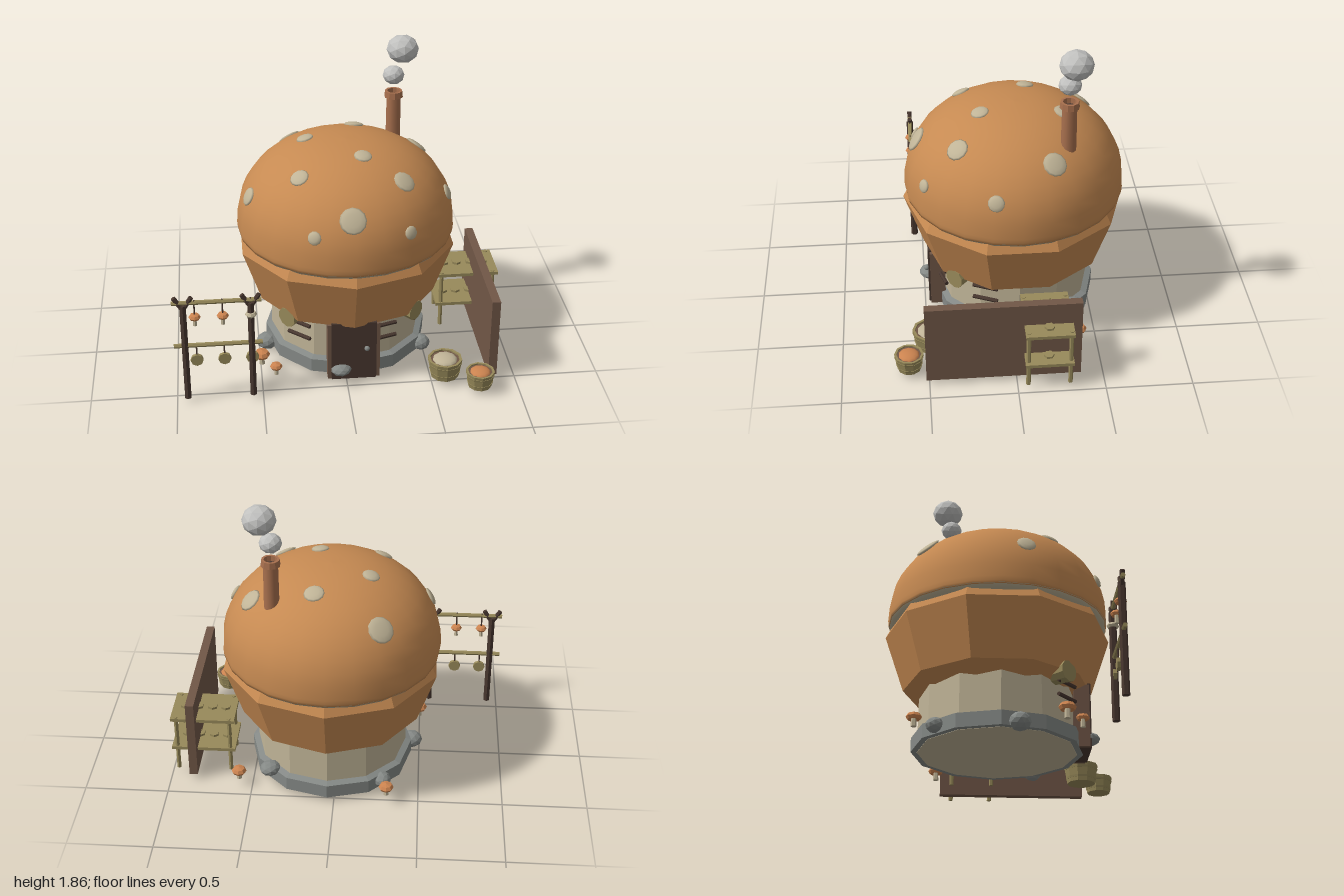
import * as THREE from 'three';

const mat = (name, color) => {
  const m = new THREE.MeshStandardMaterial({ color });
  m.name = name;
  return m;
};

export function createModel() {
  const M = {
    cap: mat('cap tan', 0xc68a52),
    sprout: mat('sprout orange', 0xcc8450),
    brick: mat('chimney clay', 0xa8704e),
    cream: mat('cream', 0xc0b497),
    stone: mat('stone grey', 0x858986),
    smoke: mat('smoke', 0xc0c0be),
    dark: mat('dark wood', 0x493830),
    board: mat('board brown', 0x715747),
    olive: mat('olive wood', 0x988a5a),
  };
  const root = new THREE.Group();
  const CX = 0.04, CZ = -0.05;

  const flat = (g) => {
    const f = g.index ? g.toNonIndexed() : g;
    f.computeVertexNormals();
    return f;
  };
  const add = (name, geo, m, x = 0, y = 0, z = 0, parent = root) => {
    const mesh = new THREE.Mesh(geo, m);
    mesh.name = name;
    mesh.position.set(x, y, z);
    parent.add(mesh);
    return mesh;
  };
  const group = (name, x = 0, y = 0, z = 0) => {
    const g = new THREE.Group();
    g.name = name;
    g.position.set(x, y, z);
    root.add(g);
    return g;
  };
  const lathe = (pts, n) => new THREE.LatheGeometry(pts.map(([r, y]) => new THREE.Vector2(r, y)), n);
  const cyl = (rt, rb, h, n) => flat(new THREE.CylinderGeometry(rt, rb, h, n));
  const box = (w, h, d) => new THREE.BoxGeometry(w, h, d);
  // round stick between two points
  const stick = (name, a, b, r, m, parent = root) => {
    const p = new THREE.Vector3(...a), q = new THREE.Vector3(...b);
    const s = add(name, cyl(r, r, p.distanceTo(q), 6), m, 0, 0, 0, parent);
    s.position.copy(p).add(q).multiplyScalar(0.5);
    s.quaternion.setFromUnitVectors(new THREE.Vector3(0, 1, 0), q.clone().sub(p).normalize());
    return s;
  };

  // house body: stem wall, stone footing, flared skirt
  add('wall', cyl(0.45, 0.455, 0.36, 12), M.cream, CX, 0.22, CZ);
  add('stoneFooting', flat(lathe([[0.44, 0.042], [0.49, 0.042], [0.49, 0.125], [0.45, 0.14]], 12)), M.stone, CX, 0, CZ);
  add('skirt', flat(lathe([[0.4, 0.37], [0.43, 0.35], [0.545, 0.41], [0.656, 0.74], [0.615, 0.82]], 10)), M.cap, CX, 0, CZ);
  add('gillRim', lathe([[0.56, 0.775], [0.625, 0.79], [0.642, 0.812]], 24), M.cream, CX, 0, CZ);

  // domed cap following a rounded curve
  const R = 0.645, H = 0.515, Y0 = 0.85, E = 2.2;
  const domeY = (r) => Y0 + H * Math.pow(Math.max(0, 1 - Math.pow(r / R, E)), 1 / E);
  const profile = [[0.6, 0.808], [0.64, 0.806], [0.643, 0.825]];
  for (let i = 0; i <= 12; i++) {
    const r = R * Math.cos((i / 12) * Math.PI / 2);
    profile.push([Math.max(r, 0.0001), domeY(r)]);
  }
  add('cap', lathe(profile, 24), M.cap, CX, 0, CZ);

  // pale spots lying on the dome: x, z, radius
  const spots = [
    [-0.26, -0.47, 0.078], [0.12, -0.33, 0.06], [-0.19, -0.135, 0.052], [0.12, 0.15, 0.053],
    [-0.25, 0.24, 0.056], [0.34, 0.29, 0.066], [0.49, -0.24, 0.07], [-0.535, 0.085, 0.056],
    [0.625, 0.095, 0.048], [0.025, 0.515, 0.077], [-0.19, 0.52, 0.04], [0.355, 0.484, 0.04],
  ];
  const spotGeo = new THREE.SphereGeometry(1, 12, 6);
  for (const [x, z, s] of spots) {
    const dx = x - CX, dz = z - CZ, r = Math.min(Math.hypot(dx, dz), 0.625);
    const y = domeY(r), e = 0.002;
    const slope = (domeY(r - e) - domeY(r + e)) / (2 * e);
    const n = new THREE.Vector3(dx / r * slope, 1, dz / r * slope).normalize();
    const spot = add('capSpot', spotGeo, M.cream, x, y, z);
    spot.scale.set(s, 0.016, s);
    spot.quaternion.setFromUnitVectors(new THREE.Vector3(0, 1, 0), n);
  }

  // chimney and smoke
  const chimney = group('chimney', 0.358, 0, -0.33);
  add('flue', new THREE.CylinderGeometry(0.042, 0.045, 0.34, 12, 1, true), M.brick, 0, 1.34, 0, chimney);
  add('chimneyCollar', flat(lathe([[0.042, 1.49], [0.056, 1.495], [0.052, 1.533], [0.038, 1.533], [0.036, 1.49]], 10)), M.brick, 0, 0, 0, chimney);
  add('sootHole', cyl(0.038, 0.038, 0.01, 10), M.dark, 0, 1.495, 0, chimney);
  const puff = flat(new THREE.IcosahedronGeometry(1, 1));
  add('smallPuff', puff, M.smoke, 0.355, 1.633, -0.33).scale.set(0.065, 0.056, 0.065);
  add('largePuff', puff, M.smoke, 0.41, 1.785, -0.355).scale.set(0.096, 0.084, 0.096);

  // door with jambs and knob
  const door = group('door', CX, 0, 0);
  add('doorPanel', box(0.265, 0.385, 0.1), M.dark, 0, 0.235, 0.425, door);
  for (const s of [-1, 1]) add('doorJamb', box(0.022, 0.37, 0.09), M.board, s * 0.143, 0.228, 0.42, door);
  add('doorKnob', new THREE.SphereGeometry(0.016, 10, 8), M.stone, 0.075, 0.255, 0.485, door);

  // wall pegs and round vents under the skirt
  for (const y of [0.27, 0.355]) {
    stick('wallPeg', [-0.33, y, 0.27], [-0.21, y, 0.375], 0.012, M.dark);
    stick('wallPeg', [0.19, y, 0.405], [0.3, y, 0.37], 0.012, M.dark);
    stick('wallPeg', [0.43, y, 0.22], [0.49, y, 0.08], 0.012, M.dark);
  }
  for (const s of [-1, 1]) {
    const a = s * 0.79;
    const vent = group('roundVent', CX + Math.sin(a) * 0.48, 0.4, CZ + Math.cos(a) * 0.48);
    vent.rotation.y = a;
    add('ventPipe', cyl(0.062, 0.055, 0.12, 10), M.olive, 0, 0, 0, vent).rotation.x = Math.PI / 2;
  }

  // boulders around the footing
  const rock = flat(new THREE.IcosahedronGeometry(1, 1));
  const rocks = [[-0.45, 0.06, 0.05, 0.068, 0.052], [-0.035, 0.11, 0.46, 0.07, 0.038], [0.48, 0.075, 0.18, 0.06, 0.05],
    [0.39, 0.13, -0.39, 0.065, 0.042], [-0.28, 0.09, -0.4, 0.06, 0.045]];
  rocks.forEach(([x, y, z, r, h], i) => {
    const b = add('boulder', rock, M.stone, x, y, z);
    b.scale.set(r, h, r * 0.9);
    b.rotation.y = i * 1.3;
  });

  // little mushrooms: x, cap height, z, cap radius
  const sproutCap = flat(lathe([[0.0001, -0.15], [0.8, -0.35], [1, 0], [0.75, 0.4], [0.0001, 0.6]], 8));
  const sprout = (x, y, z, r, capMat = M.sprout, stem = 0.055) => {
    const g = group('sproutMushroom', x, y, z);
    add('sproutStem', cyl(r * 0.28, r * 0.38, stem, 6), M.cream, 0, -stem / 2, 0, g);
    add('sproutCap', sproutCap, capMat, 0, 0, 0, g).scale.setScalar(r);
  };
  sprout(-0.495, 0.13, 0.3, 0.05, M.sprout, 0.065);
  sprout(-0.415, 0.1, 0.39, 0.038);
  sprout(0.58, 0.105, -0.395, 0.045);
  sprout(-0.31, 0.125, -0.52, 0.045);

  // tubs with produce
  const tub = (x, z, r, h, filling) => {
    const g = group('tub', x, 0.042, z);
    const t = r * 0.85;
    add('tubStaves', flat(lathe([[0.0001, 0], [r * 0.82, 0], [r, h], [t, h], [t, h * 0.75]], 10)), M.olive, 0, 0, 0, g);
    for (const k of [0.25, 0.75]) {
      const hoop = r * (0.82 + 0.18 * k) + 0.004;
      add('tubHoop', cyl(hoop, hoop - 0.003, 0.012, 10), M.olive, 0, h * k, 0, g);
    }
    add('tubSoil', cyl(t, t, 0.008, 10), M.board, 0, h * 0.88, 0, g);
    add('tubFilling', new THREE.SphereGeometry(1, 10, 5, 0, Math.PI * 2, 0, Math.PI / 2), filling, 0, h * 0.88, 0, g)
      .scale.set(r * 0.73, h * 0.25, r * 0.73);
  };
  tub(0.58, 0.485, 0.103, 0.115, M.cream);
  tub(0.768, 0.612, 0.085, 0.1, M.sprout);

  // tall side board with shelves passing through it
  add('sideBoard', box(0.05, 0.505, 0.885), M.board, 0.863, 0.293, 0.075);
  const shelves = group('shelfRack', 0.802, 0, -0.178);
  for (const y of [0.195, 0.4]) {
    add('shelf', box(0.385, 0.02, 0.275), M.olive, 0, y, 0, shelves);
    for (const x of [-0.127, -0.047, 0.038, 0.118]) add('shelfDish', cyl(0.03, 0.03, 0.014, 6), M.olive, x, y + 0.017, 0, shelves);
  }
  for (const x of [-0.16, 0.16]) for (const z of [-0.12, 0.12])
    add('shelfPost', cyl(0.013, 0.013, 0.375, 6), M.olive, x, 0.228, z, shelves);

  // drying rack with forked posts
  const RZ = 0.55;
  for (const x of [-0.937, -0.557]) {
    stick('rackPost', [x, 0.03, RZ], [x, 0.66, RZ], 0.021, M.dark);
    for (const s of [-1, 1]) stick('rackFork', [x, 0.63, RZ], [x + s * 0.05, 0.71, RZ], 0.014, M.dark);
  }
  for (const y of [0.39, 0.675]) stick('rackBar', [-1, y, RZ], [-0.495, y, RZ], 0.013, M.olive);
  [-0.873, -0.715, -0.556].forEach((x, i) => {
    stick('hangingCord', [x, 0.58, RZ], [x, 0.69, RZ], 0.005, M.dark);
    sprout(x, 0.58, RZ, 0.035, i < 2 ? M.sprout : M.cream);
    stick('hangingCord', [x, 0.3, RZ], [x, 0.4, RZ], 0.005, M.dark);
    add('hangingSlice', cyl(0.037, 0.037, 0.02, 8), M.olive, x, 0.29, RZ).rotation.x = Math.PI / 2;
  });

  return root;
}
